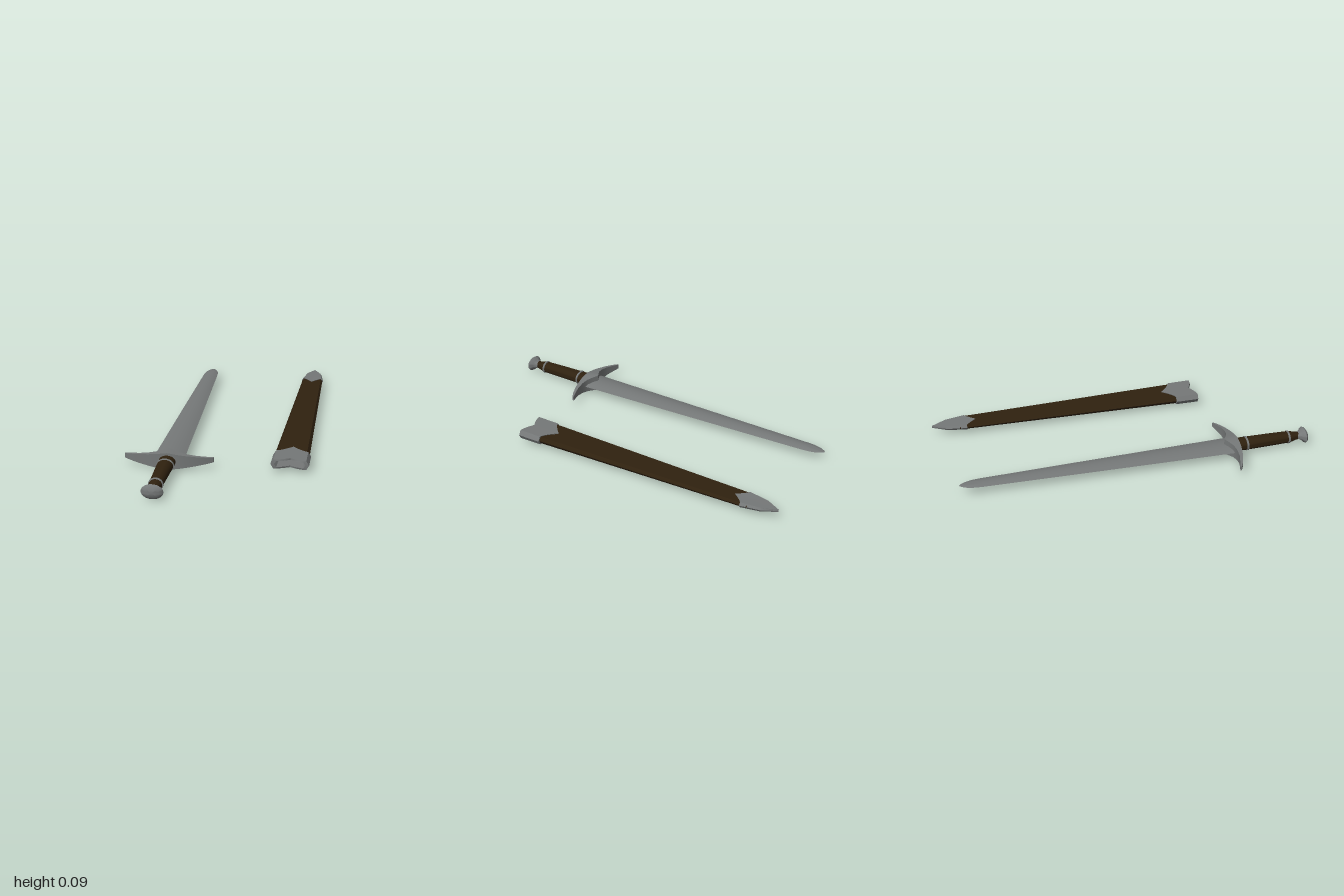
import * as THREE from 'three';
import { toCreasedNormals } from 'three/addons/utils/BufferGeometryUtils.js';

const metal = new THREE.MeshStandardMaterial({ color: 0x757878 });
metal.name = 'steel grey';
const leather = new THREE.MeshStandardMaterial({ color: 0x2f210f });
leather.name = 'dark brown leather';

// Skin a list of equal-length closed rings of [x, y, z] points
function loft(rings, crease = 0.5) {
  const n = rings[0].length;
  const index = [];
  for (let i = 0; i < rings.length - 1; i++) {
    for (let j = 0; j < n; j++) {
      const k = (j + 1) % n;
      const a = i * n + j, b = i * n + k, c = a + n, d = b + n;
      index.push(a, b, d, a, d, c);
    }
  }
  const geo = new THREE.BufferGeometry();
  geo.setAttribute('position', new THREE.Float32BufferAttribute(rings.flat(2), 3));
  geo.setIndex(index);
  return toCreasedNormals(geo, crease);
}

// Add end caps by collapsing the first and last rings to their centres
function capped(rings) {
  const centre = (r) => {
    const c = [0, 1, 2].map((k) => r.reduce((s, p) => s + p[k], 0) / r.length);
    return r.map(() => c);
  };
  return [centre(rings[0]), ...rings, centre(rings[rings.length - 1])];
}

function add(group, name, geo, material) {
  const mesh = new THREE.Mesh(geo, material);
  mesh.name = name;
  group.add(mesh);
}

// Elliptical ring
function oval(z, rx, ry, n = 28) {
  return Array.from({ length: n }, (_, i) => {
    const a = (i / n) * Math.PI * 2;
    return [rx * Math.cos(a), ry * Math.sin(a), z];
  });
}

// Flattened hexagon ring; zAt(t) shifts the edge, t = 0 at the middle, 1 at the sides
function hex(w, h, zAt) {
  const z = typeof zAt === 'number' ? () => zAt : zAt;
  const s = w * 0.85;
  const ts = [1, 0.8, 0.6, 0.4, 0.2, 0, -0.2, -0.4, -0.6, -0.8, -1];
  const top = ts.map((t) => [s * t, h, z(Math.abs(t))]);
  const bottom = ts.map((t) => [-s * t, -h, z(Math.abs(t))]);
  return [[w, 0, z(1)], ...top, [-w, 0, z(1)], ...bottom];
}

// Lens-shaped blade section
function lens(z, w, t) {
  const us = [0.75, 0.5, 0.25, 0, -0.25, -0.5, -0.75];
  const y = (u) => t * (1 - u * u);
  return [[w, 0, z], ...us.map((u) => [w * u, y(u), z]),
    [-w, 0, z], ...us.map((u) => [-w * u, -y(u), z])];
}

function makeSword() {
  const sword = new THREE.Group();
  sword.name = 'sword';

  const blade = [[-0.95, 0.003, 0.001], [-0.94, 0.014, 0.003], [-0.915, 0.028, 0.006],
    [-0.88, 0.038, 0.008], [-0.84, 0.042, 0.009], [-0.2, 0.061, 0.012], [0.56, 0.082, 0.014]];
  add(sword, 'blade', loft(capped(blade.map((s) => lens(...s)))), metal);

  // Curved guard: distance from the middle, blade-side z, grip-side z
  const half = [[0, 0.513, 0.587], [0.03, 0.53, 0.587], [0.06, 0.545, 0.586], [0.1, 0.552, 0.58],
    [0.15, 0.549, 0.568], [0.2, 0.535, 0.55], [0.234, 0.524, 0.533]];
  const guard = [...half.slice(1).reverse().map(([x, a, b]) => [-x, a, b]), ...half];
  add(sword, 'guard', loft(capped(guard.map(([x, a, b]) => {
    const h = 0.0465 - 0.034 * (Math.abs(x) / 0.234);
    return [[x, -h, a], [x, h, a], [x, h, b], [x, -h, b]];
  })), 0.45), metal);

  const grip = [[0.575, 0.045, 0.033], [0.64, 0.043, 0.033], [0.76, 0.039, 0.033],
    [0.885, 0.035, 0.031], [0.905, 0.032, 0.028], [0.93, 0.025, 0.021], [0.95, 0.024, 0.019]];
  add(sword, 'grip', loft(capped(grip.map((s) => oval(...s))), 0.8), leather);

  // Thin bands around both ends of the grip
  for (const [z, rx, ry] of [[0.64, 0.043, 0.033], [0.885, 0.035, 0.031]]) {
    const band = [[-0.007, -0.002], [-0.004, 0.004], [0.004, 0.004], [0.007, -0.002]];
    add(sword, 'gripBand', loft(band.map(([dz, r]) => oval(z + dz, rx + r, ry + r)), 0.8), metal);
  }

  const pommel = [[0.938, 0.026], [0.95, 0.029], [0.962, 0.039], [0.971, 0.052], [0.978, 0.057],
    [0.985, 0.052], [0.992, 0.038], [0.997, 0.02], [1, 0.003]];
  add(sword, 'pommel', loft(capped(pommel.map(([z, r]) => oval(z, r, r * 0.7))), 0.9), metal);
  return sword;
}

function makeScabbard() {
  const scabbard = new THREE.Group();
  scabbard.name = 'scabbard';

  add(scabbard, 'scabbardBody', loft([hex(0.059, 0.012, -0.85), hex(0.092, 0.02, 0.43)]), leather);

  // Throat fitting with pointed rear edge, notched mouth and hollow lining
  const rear = (t) => 0.41 - 0.065 * (1 - t) ** 1.4;
  const mouth = (t) => 0.54 - 0.03 * (1 - t) ** 1.6;
  add(scabbard, 'throat', loft([
    hex(0.09, 0.018, rear), hex(0.099, 0.024, rear), hex(0.1, 0.025, mouth),
    hex(0.082, 0.016, mouth), hex(0.076, 0.015, 0.4), hex(0.048, 0.009, -0.75),
    hex(0.0005, 0.0005, -0.75),
  ]), metal);

  // Pointed tip fitting
  const edge = (t) => -0.81 + 0.058 * (1 - t) ** 1.2;
  add(scabbard, 'tipFitting', loft([
    hex(0.001, 0.006, -1), hex(0.046, 0.011, -0.92), hex(0.065, 0.015, edge), hex(0.058, 0.011, edge),
  ]), metal);
  return scabbard;
}

export function createModel() {
  const model = new THREE.Group();
  model.name = 'swordAndScabbard';
  const sword = makeSword();
  sword.position.set(-0.25, 0.0465, 0);
  const scabbard = makeScabbard();
  scabbard.position.set(0.38, 0.0465, 0);
  model.add(sword, scabbard);
  return model;
}
